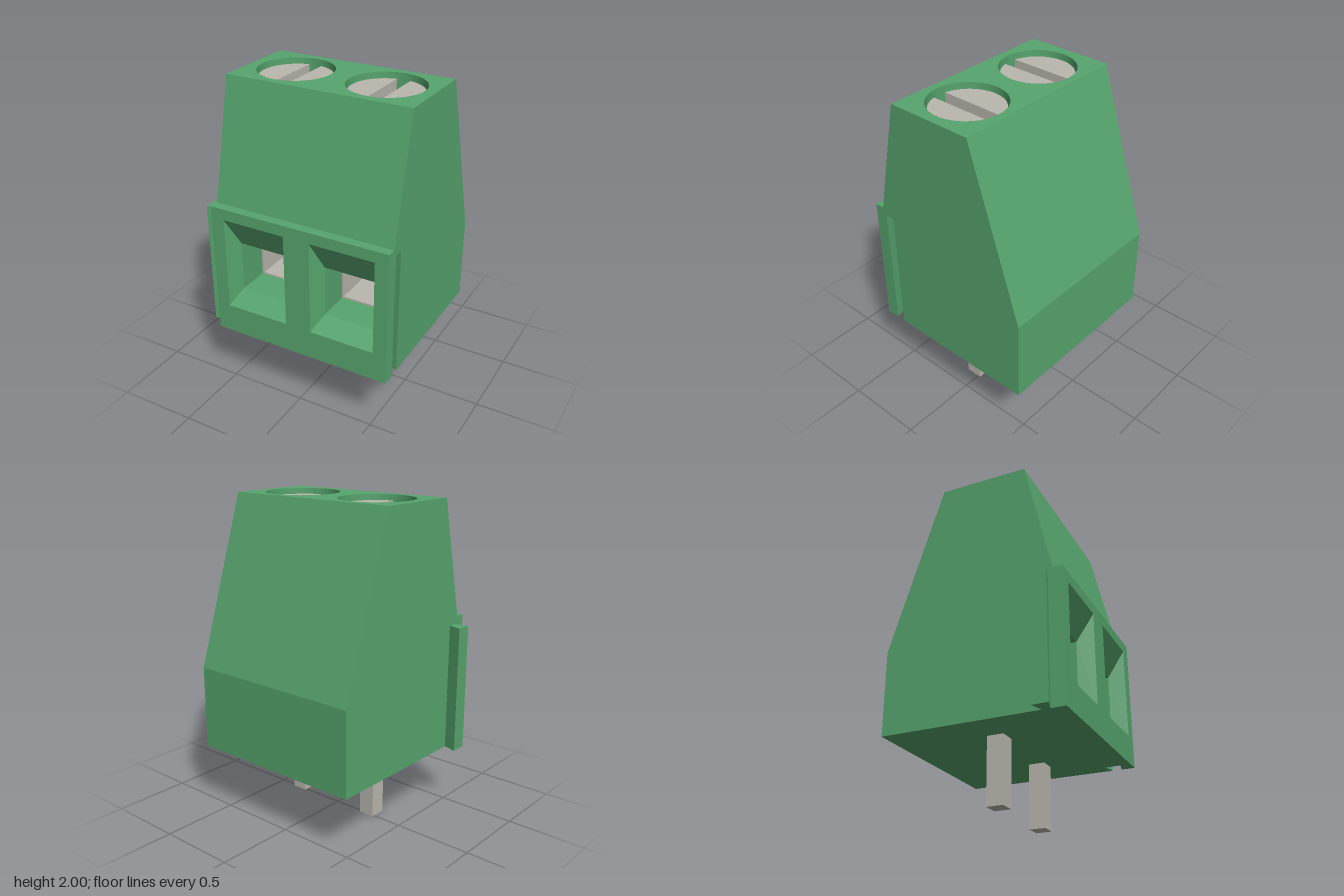
import * as THREE from 'three';

const green = new THREE.MeshStandardMaterial({ color: 0x56a46d, side: THREE.DoubleSide });
const metal = new THREE.MeshStandardMaterial({ color: 0xbab7ae });

const X0 = -0.545, X1 = 0.625, BASE = 0.41, TAB_TOP = 1.215;
const POLES = [-0.2525, 0.3325];
const SCREW_Z = 0.055, HOLE_R = 0.23, SCREW_R = 0.218;
// side profile as [z, y], from the front foot over the top to the back foot
const PROFILE = [[0.565, BASE], [0.565, 1.26], [0.505, 1.26], [0.335, 2], [-0.22, 2], [-0.565, 0.94], [-0.565, BASE]];
// dovetail groove as [x, z], mouth to mouth
const GROOVE = [[X1, 0.42], [0.54, 0.4], [0.54, 0.5], [X1, 0.48]];

const shapeOf = (pts) => new THREE.Shape(pts.map(([a, b]) => new THREE.Vector2(a, b)));
const rect = (x0, y0, x1, y1) => [[x0, y0], [x1, y0], [x1, y1], [x0, y1]];

function add(group, name, geometry, material) {
  const mesh = new THREE.Mesh(geometry, material);
  mesh.name = name;
  group.add(mesh);
  return mesh;
}

// flat panel spanned by the directions u and v from an origin
function panel(shape, origin, u, v) {
  const m = new THREE.Matrix4().makeBasis(u, v, new THREE.Vector3().crossVectors(u, v));
  return new THREE.ShapeGeometry(shape, 48).applyMatrix4(m.setPosition(origin));
}

// flat-shaded walls joining successive rings of points
function walls(rings, closed) {
  const pos = [];
  for (let r = 0; r + 1 < rings.length; r++) {
    const a = rings[r], b = rings[r + 1], n = a.length;
    for (let i = 0; i < (closed ? n : n - 1); i++) {
      const j = (i + 1) % n;
      pos.push(...a[i], ...a[j], ...b[j], ...a[i], ...b[j], ...b[i]);
    }
  }
  const g = new THREE.BufferGeometry();
  g.setAttribute('position', new THREE.Float32BufferAttribute(pos, 3));
  g.computeVertexNormals();
  return g;
}

function buildHousing() {
  const g = new THREE.Group();
  g.name = 'housing';
  const V = (x, y, z) => new THREE.Vector3(x, y, z);
  const names = ['frontFace', 'frontLedge', 'frontSlope', 'topFace', 'backSlope', 'backFace', 'bottomFace'];

  // panels around the profile
  PROFILE.forEach(([z, y], i) => {
    const [z2, y2] = PROFILE[(i + 1) % PROFILE.length];
    const dir = V(0, y2 - y, z2 - z), len = dir.length();
    let pts = rect(X0, 0, X1, len);
    if (names[i] === 'bottomFace') {
      pts = [[X0, 0], [X1, 0], ...GROOVE.map(([gx, gz]) => [gx, gz - z]), [X1, len], [X0, len]];
    }
    const shape = shapeOf(pts);
    for (const c of POLES) {
      if (names[i] === 'frontFace') {
        shape.holes.push(shapeOf(rect(c - 0.2075, 0.595 - y, c + 0.2075, 1.19 - y)));
      } else if (names[i] === 'topFace') {
        shape.holes.push(new THREE.Path().absarc(c, z - SCREW_Z, HOLE_R, 0, Math.PI * 2));
      }
    }
    add(g, names[i], panel(shape, V(0, y, z), V(1, 0, 0), dir.normalize()), green);
  });

  // end walls, the left one notched for the groove
  add(g, 'rightWall', panel(shapeOf(PROFILE), V(X0, 0, 0), V(0, 0, 1), V(0, 1, 0)), green);
  const notch = [[0.42, BASE], [0.42, TAB_TOP], [0.48, TAB_TOP], [0.48, BASE]];
  const notched = shapeOf([...PROFILE, ...notch].map(([z, y]) => [-z, y]));
  add(g, 'leftWall', panel(notched, V(X1, 0, 0), V(0, 0, -1), V(0, 1, 0)), green);

  // dovetail groove
  const ring = (y) => GROOVE.map(([x, z]) => [x, y, z]);
  add(g, 'grooveWalls', walls([ring(BASE), ring(TAB_TOP)], false), green);
  add(g, 'grooveCeiling', panel(shapeOf(GROOVE), V(0, TAB_TOP, 0), V(1, 0, 0), V(0, 0, 1)), green);

  // matching dovetail tab
  const tab = shapeOf([[X0, 0.425], [X0, 0.475], [-0.63, 0.5], [-0.63, 0.4]]);
  const tabGeo = new THREE.ExtrudeGeometry(tab, { depth: TAB_TOP - BASE, bevelEnabled: false });
  tabGeo.rotateX(Math.PI / 2).translate(0, TAB_TOP, 0);
  add(g, 'dovetailTab', tabGeo, green);
  return g;
}

function buildPole(c) {
  const g = new THREE.Group();
  g.name = 'terminal';

  // flared wire entry and its channel
  const ring = (h, y0, y1, z) => rect(c - h, y0, c + h, y1).map(([x, y]) => [x, y, z]);
  const inner = [0.1625, 0.68, 1.0];
  add(g, 'wireEntry', walls([ring(0.2075, 0.595, 1.19, 0.565), ring(...inner, 0.465), ring(...inner, -0.15)], true), green);
  add(g, 'entryBack', new THREE.PlaneGeometry(0.325, 0.32).translate(c, 0.84, -0.15), green);

  // square metal cage
  const cage = shapeOf(rect(c - 0.1625, 0.68, c + 0.1625, 1.0));
  cage.holes.push(shapeOf(rect(c - 0.15, 0.692, c + 0.15, 0.988)));
  add(g, 'clampCage', new THREE.ExtrudeGeometry(cage, { depth: 0.4, bevelEnabled: false }).translate(0, 0, -0.14), metal);

  // screw well
  add(g, 'screwWell', new THREE.CylinderGeometry(HOLE_R, HOLE_R, 0.12, 48, 1, true).translate(c, 1.94, SCREW_Z), green);
  add(g, 'wellFloor', new THREE.CircleGeometry(HOLE_R, 48).rotateX(-Math.PI / 2).translate(c, 1.88, SCREW_Z), green);

  // slotted screw: a base disc with two raised halves
  add(g, 'screwBase', new THREE.CylinderGeometry(SCREW_R, SCREW_R, 0.03, 48).translate(c, 1.87, SCREW_Z), metal);
  const a = Math.acos(0.042 / SCREW_R);
  for (const turn of [0, Math.PI]) {
    const half = new THREE.Shape().absarc(0, 0, SCREW_R, turn - a, turn + a);
    const geo = new THREE.ExtrudeGeometry(half, { depth: 0.085, bevelEnabled: false, curveSegments: 32 });
    geo.rotateX(-Math.PI / 2).translate(c, 1.88, SCREW_Z);
    add(g, 'screwHeadHalf', geo, metal);
  }

  // solder pin
  add(g, 'pin', new THREE.BoxGeometry(0.104, 0.42, 0.104).translate(c, 0.21, 0.037), metal);
  return g;
}

export function createModel() {
  const model = new THREE.Group();
  model.name = 'terminalBlock';
  model.add(buildHousing(), ...POLES.map(buildPole));
  return model;
}
